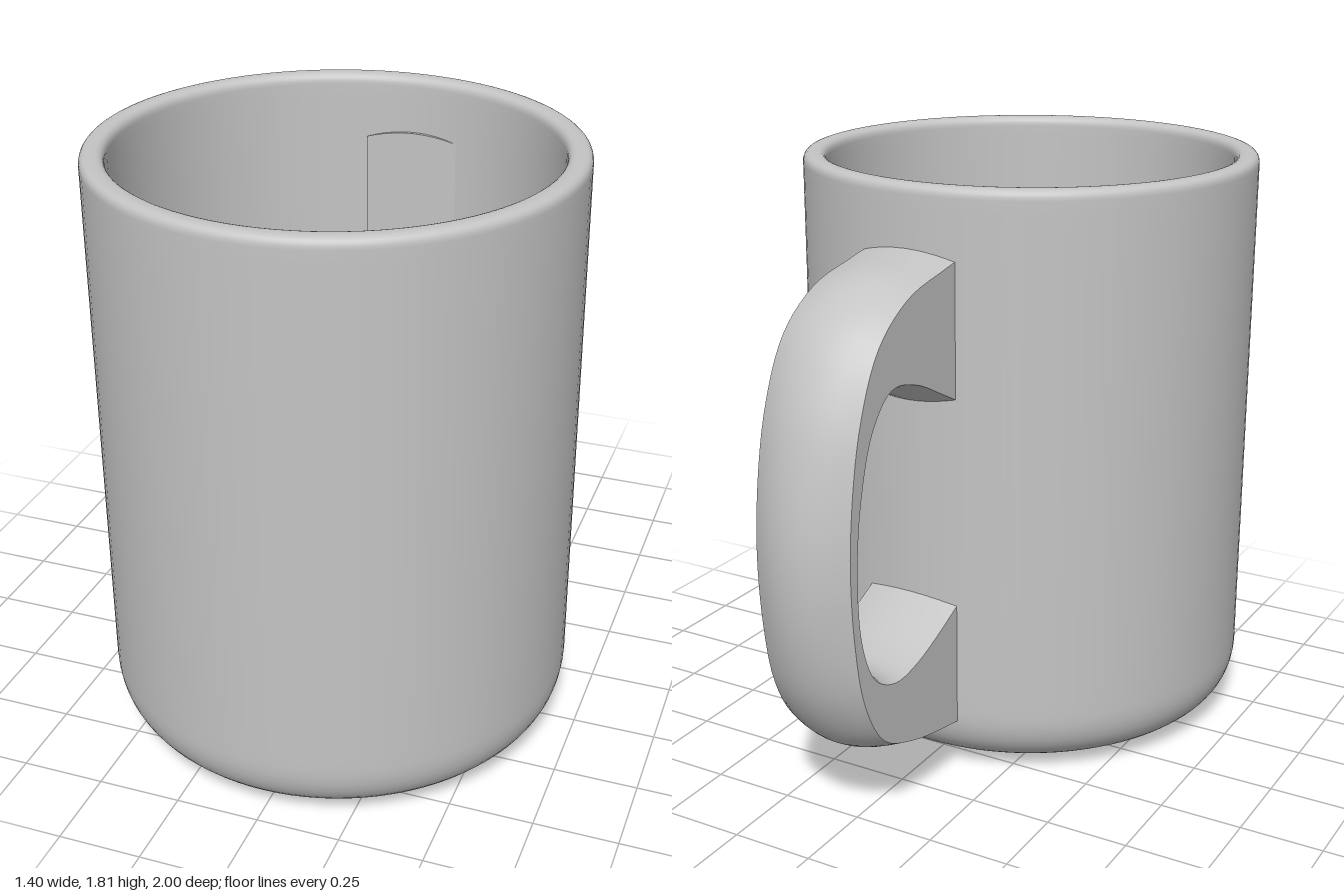
import * as THREE from 'three';

const V = (x, y) => new THREE.Vector2(x, y);

// Closed profile of the cup: base, outer wall, rounded rim, inner wall, floor
function cupGeometry() {
  const pts = [V(0, 0), V(0.2, 0), V(0.4, 0)];
  const fillet = (a, b, c, d, n) => {
    pts.push(...new THREE.CubicBezierCurve(a, b, c, d).getPoints(n));
  };
  fillet(V(0.43, 0), V(0.6, 0.01), V(0.7, 0.06), V(0.7, 0.21), 14);
  pts.push(V(0.7, 0.26), V(0.7, 1.75));
  fillet(V(0.7, 1.78), V(0.7, 1.8), V(0.69, 1.81), V(0.67, 1.81), 6);
  fillet(V(0.66, 1.81), V(0.64, 1.81), V(0.63, 1.8), V(0.63, 1.78), 6);
  pts.push(V(0.63, 1.75), V(0.63, 0.34));
  fillet(V(0.63, 0.29), V(0.63, 0.13), V(0.56, 0.08), V(0.42, 0.07), 14);
  pts.push(V(0.38, 0.07), V(0.2, 0.07), V(0, 0.07));
  return new THREE.LatheGeometry(pts, 96);
}

// Handle lofted from flat-sided sections with bowed outer and inner faces
function handleGeometry() {
  // paired stations as z, y: outer edge then inner edge
  const outer = [[-0.31, 1.64], [-0.45, 1.62], [-0.64, 1.585], [-0.8, 1.49], [-0.91, 1.32], [-0.97, 1.12], [-1, 0.88],
    [-0.98, 0.62], [-0.92, 0.42], [-0.81, 0.27], [-0.65, 0.205], [-0.45, 0.165], [-0.31, 0.145]];
  const inner = [[-0.31, 1.14], [-0.45, 1.21], [-0.6, 1.28], [-0.71, 1.295], [-0.79, 1.22], [-0.85, 1.05], [-0.872, 0.86],
    [-0.86, 0.66], [-0.81, 0.54], [-0.72, 0.49], [-0.61, 0.5], [-0.45, 0.56], [-0.31, 0.625]];
  const spline = (list) => new THREE.CatmullRomCurve3(list.map(([z, y]) => new THREE.Vector3(0, y, z)));
  const co = spline(outer), ci = spline(inner);
  const rows = 60, n = 10, x0 = -0.13, x1 = 0.175;
  const pos = [], idx = [], ringSize = 4 * (n + 1);

  for (let r = 0; r <= rows; r++) {
    const t = r / rows, grip = Math.sin(Math.PI * t) ** 2;
    const o = co.getPoint(t), i = ci.getPoint(t);
    const dir = o.clone().sub(i).normalize();
    const bowO = 0.025 + 0.035 * grip, bowI = 0.025 + 0.01 * grip;
    // point across the width (u: 0..1) on the outer or inner face
    const face = (base, u, bow) => {
      const p = base.clone().addScaledVector(dir, -bow * (2 * u - 1) ** 2);
      p.x = x0 + (x1 - x0) * u;
      return p;
    };
    const O = (u) => face(o, u, bowO), I = (u) => face(i, u, -bowI);
    for (let s = 0; s < 4; s++) {
      for (let k = 0; k <= n; k++) {
        const u = k / n;
        const p = [() => O(u), () => O(1).lerp(I(1), u), () => I(1 - u), () => I(0).lerp(O(0), u)][s]();
        pos.push(p.x, p.y, p.z);
      }
    }
  }
  for (let r = 0; r < rows; r++) {
    for (let s = 0; s < 4; s++) {
      for (let k = 0; k < n; k++) {
        const a = r * ringSize + s * (n + 1) + k, b = a + 1, c = a + ringSize, d = c + 1;
        idx.push(a, b, c, b, d, c);
      }
    }
  }
  // flat end caps just inside the cup wall
  for (const [row, flip, y] of [[0, true, 1.39], [rows, false, 0.385]]) {
    const start = pos.length / 3, src = row * ringSize * 3;
    pos.push(...pos.slice(src, src + ringSize * 3), (x0 + x1) / 2, y, -0.31);
    const mid = start + ringSize;
    for (let k = 0; k < ringSize; k++) {
      const a = start + k, b = start + (k + 1) % ringSize;
      idx.push(mid, flip ? b : a, flip ? a : b);
    }
  }
  const g = new THREE.BufferGeometry();
  g.setAttribute('position', new THREE.Float32BufferAttribute(pos, 3));
  g.setIndex(idx);
  g.computeVertexNormals();
  return g;
}

export function createModel() {
  const group = new THREE.Group();
  group.name = 'mug';
  const ceramic = new THREE.MeshStandardMaterial({ color: 0xc4c4c4 });
  ceramic.name = 'grey ceramic';

  const cup = new THREE.Mesh(cupGeometry(), ceramic);
  cup.name = 'cup';
  cup.position.z = 0.3;

  const handle = new THREE.Mesh(handleGeometry(), ceramic);
  handle.name = 'handle';

  group.add(cup, handle);
  return group;
}
